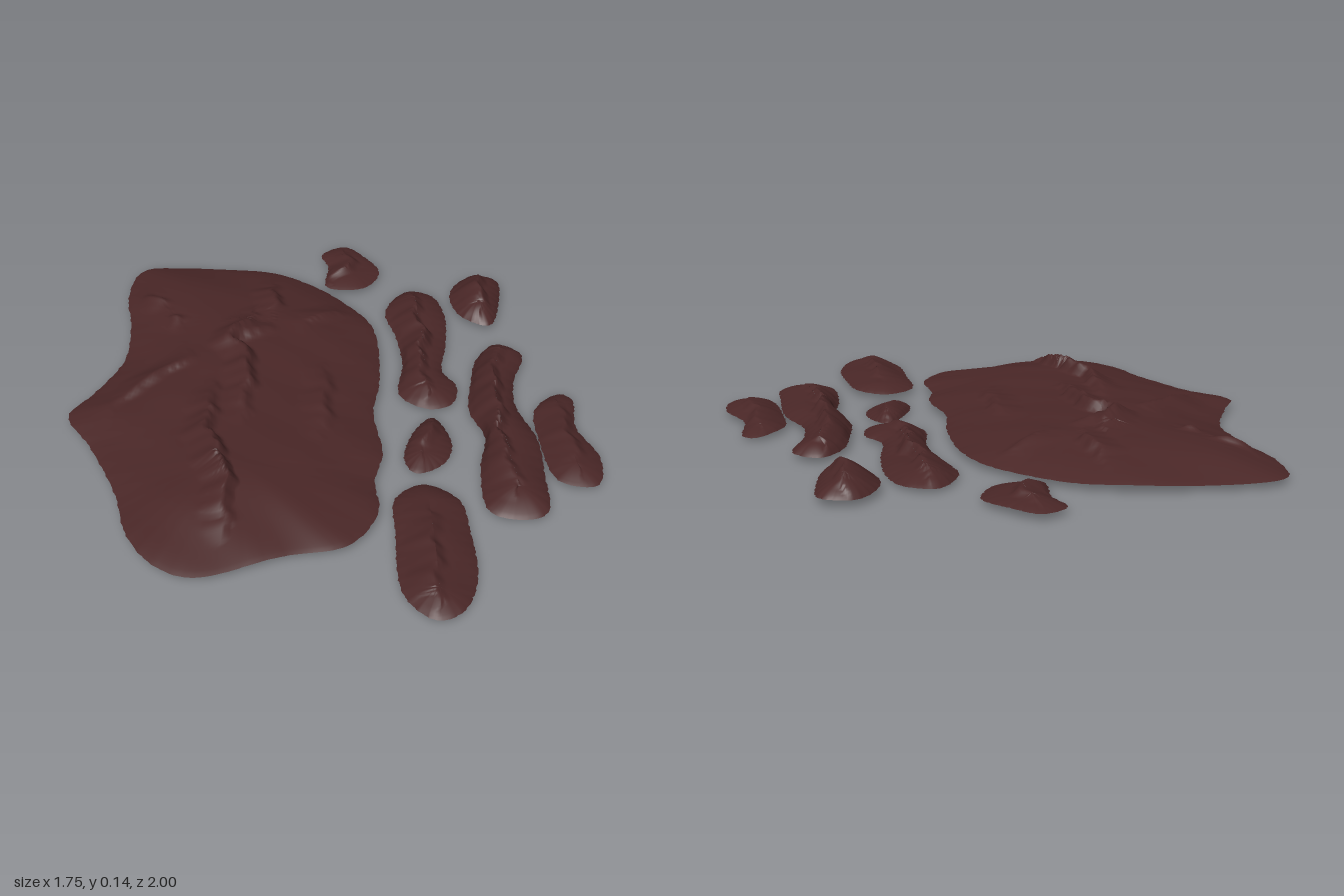
import * as THREE from 'three';

const earth = new THREE.MeshStandardMaterial({ color: 0x4a2727, side: THREE.DoubleSide });
earth.name = 'dark red earth';

const smooth = (pts, closed) =>
  new THREE.CatmullRomCurve3(pts.map(([x, z]) => new THREE.Vector3(x, 0, z)), closed);

// gentle unevenness of the ground
const bumps = (x, z) =>
  0.5 * Math.sin(9 * x + 4 * z) * Math.sin(7 * z - 3 * x + 1) + 0.3 * Math.sin(21 * x - 8 * z) * Math.sin(17 * z + 2);

// a ridge: gentle slope on its right (-x) side, steep on the other
function makeRidge([height, points]) {
  const path = smooth(points, false).getSpacedPoints(30);
  return (x, z) => {
    const wx = x + 0.008 * Math.sin(38 * z) + 0.004 * Math.sin(90 * z + 1);
    let best = Infinity, at = 0;
    path.forEach((p, i) => {
      const d = Math.hypot(wx - p.x, z - p.z);
      if (d < best) { best = d; at = i; }
    });
    const width = wx > path[at].x ? 0.03 : 0.09;
    const taper = Math.pow(Math.sin(Math.PI * (0.06 + 0.88 * at / 30)), 0.7);
    return height * taper * Math.pow(Math.max(0, 1 - best / width), 1.3);
  };
}

// one island: rings shrinking from the outline to a spine, raised into a dome with ridges
function island(name, { outline, spine, edge, dome, ridges, segs = 100, rings = 14 }) {
  const rim = smooth(outline, true).getSpacedPoints(segs).slice(0, segs);
  const ridgeAt = ridges.map(makeRidge);
  const toSpine = (z) => {
    const first = spine[0], last = spine[spine.length - 1];
    const cz = THREE.MathUtils.clamp(z, first[1], last[1]);
    const k = Math.max(1, spine.findIndex((p) => p[1] >= cz));
    const [a, b] = [spine[k - 1], spine[k]];
    return [a[0] + (b[0] - a[0]) * (cz - a[1]) / (b[1] - a[1]), cz];
  };
  const pos = [], index = [];
  for (let r = 0; r <= rings; r++) {
    const t = r / rings;
    const rise = Math.pow(Math.sin(t * Math.PI / 2), 0.85);
    rim.forEach((p, i) => {
      const [sx, sz] = toSpine(p.z);
      const ragged = (1 - t) * 0.003 * Math.sin(i * 2.1) * Math.sin(i * 0.7);
      const x = p.x + (sx - p.x) * t + ragged, z = p.z + (sz - p.z) * t;
      let y = edge + 0.008 * bumps(x, z) + dome * rise;
      for (const f of ridgeAt) y += f(x, z) * Math.min(1, t * 5);
      pos.push(x, Math.max(0, y), z);
      if (r < rings) {
        const a = r * segs + i, b = r * segs + (i + 1) % segs;
        index.push(a, a + segs, b, b, a + segs, b + segs);
      }
    });
  }
  const geo = new THREE.BufferGeometry();
  geo.setAttribute('position', new THREE.Float32BufferAttribute(pos, 3));
  geo.setIndex(index);
  geo.computeVertexNormals();
  const mesh = new THREE.Mesh(geo, earth);
  mesh.name = name;
  return mesh;
}

export function createModel() {
  const group = new THREE.Group();
  group.name = 'islands';

  group.add(island('mainIsland', {
    outline: [[-0.66, -0.87], [-0.55, -0.88], [-0.18, -0.82], [-0.05, -0.75], [0.08, -0.62], [0.18, -0.45],
      [0.185, -0.13], [0.15, 0.06], [0.165, 0.27], [0.13, 0.4], [0.13, 0.55], [0.03, 0.69], [-0.14, 0.72],
      [-0.44, 0.8], [-0.56, 0.74], [-0.645, 0.61], [-0.69, 0.43], [-0.79, 0.19], [-0.875, 0.03],
      [-0.81, -0.08], [-0.71, -0.28], [-0.7, -0.5], [-0.72, -0.66], [-0.7, -0.82]],
    spine: [[-0.3, -0.4], [-0.3, 0], [-0.32, 0.35]],
    edge: 0.026, dome: 0.068, segs: 280, rings: 44,
    ridges: [
      [0.045, [[-0.24, -0.44], [-0.32, -0.3], [-0.27, -0.18], [-0.28, 0.1]]],
      [0.025, [[-0.33, -0.3], [-0.19, -0.36]]],
      [0.05, [[-0.38, 0], [-0.4, 0.2], [-0.34, 0.42], [-0.34, 0.61]]],
      [0.03, [[-0.17, -0.66], [-0.17, -0.48]]],
      [0.02, [[0.08, -0.5], [-0.06, -0.41]]],
      [0.025, [[-0.47, -0.2], [-0.6, -0.1], [-0.72, 0]]],
      [0.025, [[0, -0.11], [-0.02, 0.17]]],
      [0.02, [[-0.65, -0.64], [-0.57, -0.57]]],
      [0.02, [[-0.55, -0.47], [-0.5, -0.46]]],
    ],
  }));

  group.add(island('backIslet', {
    outline: [[0.02, -0.95], [0.11, -1], [0.18, -0.93], [0.235, -0.82], [0.165, -0.71], [0.03, -0.72], [0.04, -0.86]],
    spine: [[0.11, -0.9], [0.12, -0.8]], edge: 0.025, dome: 0.018,
    ridges: [[0.025, [[0.11, -0.92], [0.12, -0.82], [0.04, -0.77]]]],
  }));

  group.add(island('innerBackIsland', {
    outline: [[0.33, -0.685], [0.42, -0.65], [0.455, -0.53], [0.44, -0.34], [0.41, -0.18], [0.45, -0.09],
      [0.42, 0.01], [0.34, 0.03], [0.25, -0.05], [0.275, -0.24], [0.265, -0.39], [0.24, -0.56]],
    spine: [[0.35, -0.58], [0.35, -0.35], [0.345, -0.08]], edge: 0.015, dome: 0.028, segs: 160,
    ridges: [[0.042, [[0.35, -0.62], [0.34, -0.45], [0.36, -0.33], [0.33, -0.24], [0.34, -0.06]]]],
  }));

  group.add(island('outerBackIslet', {
    outline: [[0.59, -0.76], [0.675, -0.73], [0.67, -0.6], [0.61, -0.44], [0.52, -0.49], [0.485, -0.615], [0.52, -0.71]],
    spine: [[0.6, -0.68], [0.58, -0.53]], edge: 0.026, dome: 0.04,
    ridges: [[0.035, [[0.6, -0.7], [0.59, -0.52]]]],
  }));

  group.add(island('longIsland', {
    outline: [[0.62, -0.32], [0.7, -0.255], [0.65, -0.1], [0.635, 0.03], [0.68, 0.21], [0.675, 0.4], [0.655, 0.57],
      [0.59, 0.595], [0.48, 0.56], [0.475, 0.35], [0.51, 0.19], [0.475, 0.06], [0.5, -0.1], [0.54, -0.24]],
    spine: [[0.62, -0.24], [0.57, -0.08], [0.56, 0.1], [0.575, 0.48]], edge: 0.022, dome: 0.036, segs: 180,
    ridges: [[0.042, [[0.61, -0.24], [0.57, -0.08], [0.565, 0.08], [0.55, 0.25], [0.57, 0.45]]]],
  }));

  group.add(island('outerIsland', {
    outline: [[0.8, 0.03 - 0.06], [0.835, 0], [0.82, 0.16], [0.87, 0.32], [0.835, 0.45], [0.72, 0.43],
      [0.685, 0.21], [0.7, 0.055]],
    spine: [[0.78, 0.05], [0.76, 0.18], [0.78, 0.37]], edge: 0.022, dome: 0.02,
    ridges: [[0.022, [[0.78, 0.06], [0.78, 0.2], [0.79, 0.36]]]],
  }));

  group.add(island('smallIslet', {
    outline: [[0.35, 0.07], [0.4, 0.2], [0.365, 0.3], [0.265, 0.35], [0.235, 0.28], [0.285, 0.135]],
    spine: [[0.34, 0.14], [0.3, 0.27]], edge: 0.01, dome: 0.025,
    ridges: [[0.02, [[0.34, 0.12], [0.33, 0.2], [0.29, 0.24]]]],
  }));

  group.add(island('frontIsland', {
    outline: [[0.285, 0.42], [0.385, 0.495], [0.405, 0.64], [0.4, 0.85], [0.34, 0.975], [0.265, 1],
      [0.18, 0.9], [0.175, 0.64], [0.19, 0.48]],
    spine: [[0.29, 0.52], [0.28, 0.9]], edge: 0.022, dome: 0.025, segs: 140,
    ridges: [[0.025, [[0.29, 0.6], [0.28, 0.78], [0.27, 0.93]]]],
  }));

  return group;
}
